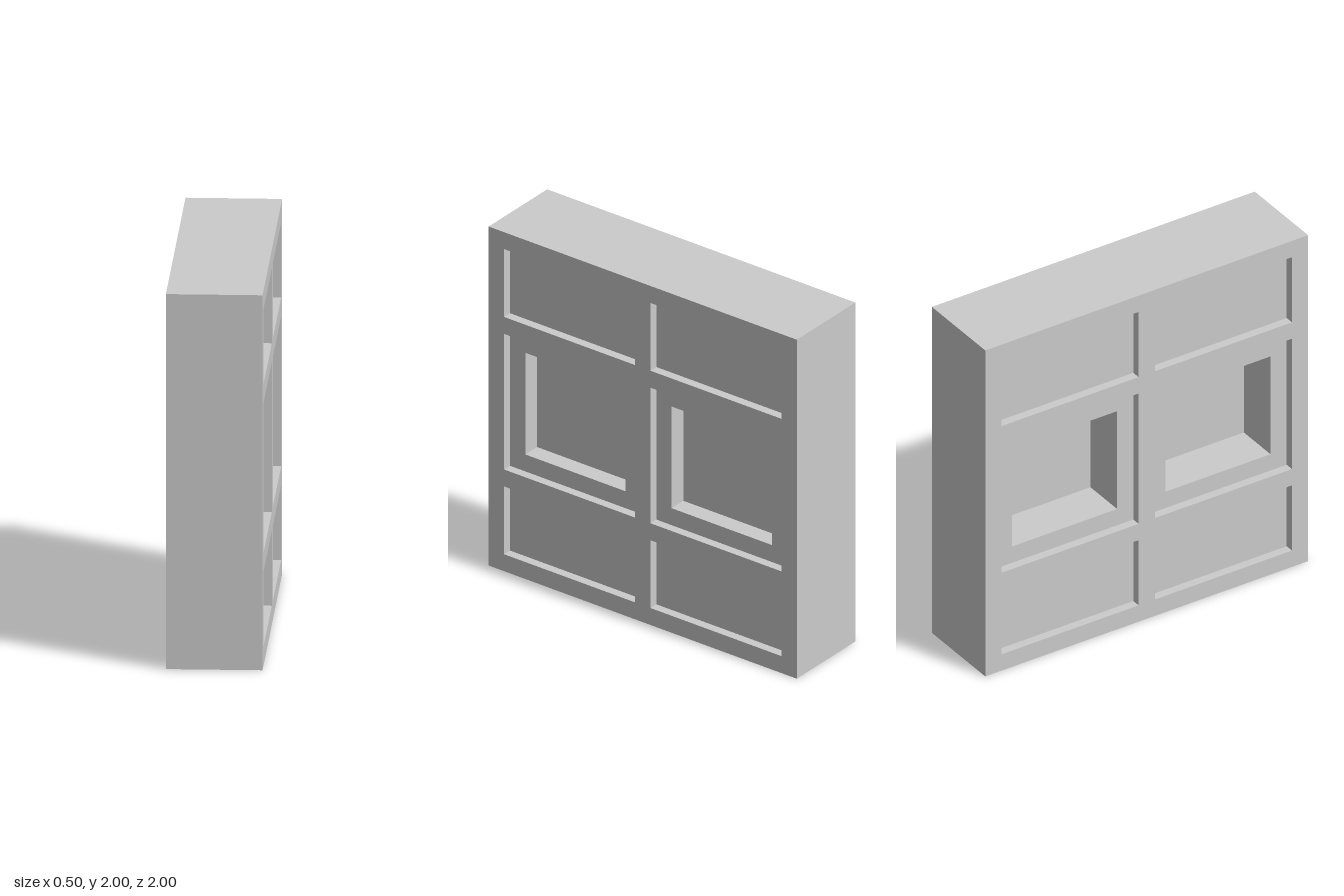
import * as THREE from 'three';

const material = new THREE.MeshStandardMaterial({ color: 0xcccccc, flatShading: true });

// Rectangle as corner points: u runs along the width, v is height
const corners = ([u0, u1, v0, v1]) => [
  new THREE.Vector2(u0, v0), new THREE.Vector2(u1, v0),
  new THREE.Vector2(u1, v1), new THREE.Vector2(u0, v1),
];

// Slab with rectangular openings, spanning x0..x1, its width along z
function slab(name, rect, openings, x0, x1) {
  const shape = new THREE.Shape(corners(rect));
  for (const o of openings) shape.holes.push(new THREE.Path(corners(o).reverse()));
  const geometry = new THREE.ExtrudeGeometry(shape, { depth: x1 - x0, bevelEnabled: false });
  geometry.translate(0, 0, x0).rotateY(Math.PI / 2);
  const mesh = new THREE.Mesh(geometry, material);
  mesh.name = name;
  return mesh;
}

export function createModel() {
  const group = new THREE.Group();
  group.name = 'panelledWindowBlock';

  const columns = [[-0.9, -0.05], [0.05, 0.9]];
  const rows = [[0.1, 0.5], [0.6, 1.4], [1.5, 1.9]];
  const inset = 0.1;

  // Full-depth frame with six openings
  const cells = columns.flatMap(c => rows.map(r => [...c, ...r]));
  group.add(slab('frame', [-1, 1, 0, 2], cells, -0.25, 0.25));

  for (const [u0, u1] of columns) {
    rows.forEach(([v0, v1], i) => {
      const cell = [u0, u1, v0, v1];
      if (i === 1) {
        // Window: stepped surround and a pane set off-centre in depth
        const opening = [u0 + inset, u1 - inset, v0 + inset, v1 - inset];
        group.add(slab('windowSurround', cell, [opening], -0.2, 0.2));
        group.add(slab('windowPane', opening, [], 0.05, 0.1));
      } else {
        // Solid panel, recessed equally on both sides
        group.add(slab(i === 0 ? 'lowerPanel' : 'upperPanel', cell, [], -0.2, 0.2));
      }
    });
  }
  return group;
}
